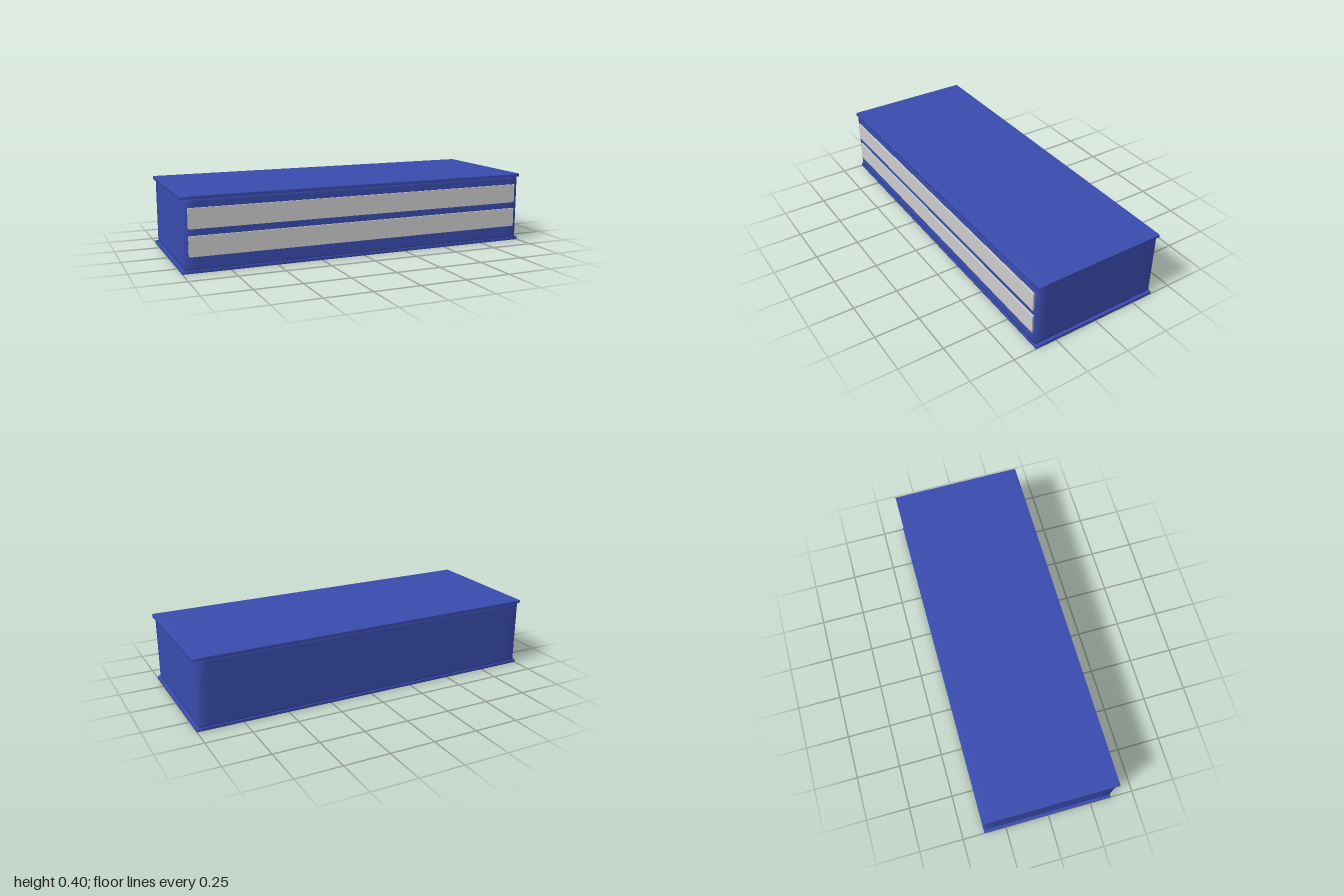
import * as THREE from 'three';
import { mergeVertices } from 'three/addons/utils/BufferGeometryUtils.js';

// Box with support loops near its edges and shared normals, for softly shaded rims
function softBox(w, h, d, inset, insetY) {
  const geo = new THREE.BoxGeometry(w, h, d, 3, 3, 3);
  const p = geo.attributes.position;
  const slide = (v, size, gap) =>
    Math.abs(v) < size * 0.4 ? Math.sign(v) * (size / 2 - gap) : v;
  for (let i = 0; i < p.count; i++) {
    p.setXYZ(i,
      slide(p.getX(i), w, inset),
      slide(p.getY(i), h, insetY),
      slide(p.getZ(i), d, inset));
  }
  geo.deleteAttribute('normal');
  geo.deleteAttribute('uv');
  const merged = mergeVertices(geo, 1e-5);
  merged.computeVertexNormals();
  return merged;
}

export function createModel() {
  const blue = new THREE.MeshStandardMaterial({ color: 0x394cae });
  blue.name = 'blue paint';
  const gray = new THREE.MeshStandardMaterial({ color: 0xcccccc });
  gray.name = 'light gray';

  const model = new THREE.Group();
  model.name = 'drawerUnit';
  const add = (name, geo, mat, y, z) => {
    const mesh = new THREE.Mesh(geo, mat);
    mesh.name = name;
    mesh.position.set(0, y, z);
    model.add(mesh);
  };

  // Cabinet body between two slightly overhanging panels
  add('body', softBox(1.97, 0.376, 0.738, 0.06, 0.02), blue, 0.198, -0.002);
  const panel = softBox(2, 0.017, 0.747, 0.06, 0.004);
  add('topPanel', panel, blue, 0.387, -0.0025);
  add('bottomPanel', panel, blue, 0.0085, -0.0025);

  // Two drawer fronts
  const drawer = new THREE.BoxGeometry(1.93, 0.106, 0.011);
  add('lowerDrawerFront', drawer, gray, 0.139, 0.371);
  add('upperDrawerFront', drawer, gray, 0.281, 0.371);

  return model;
}
